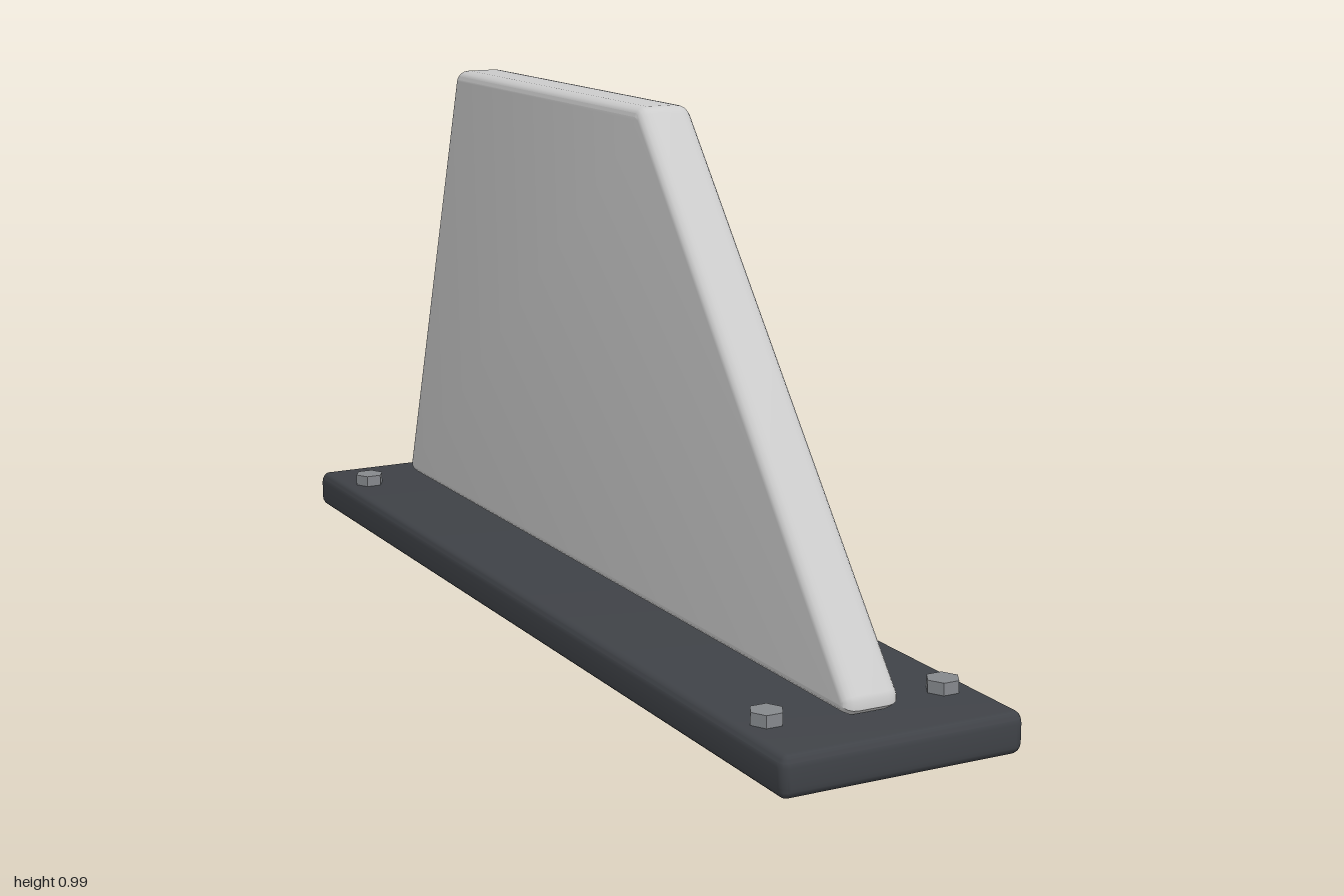
import * as THREE from 'three';
import { toCreasedNormals } from 'three/addons/utils/BufferGeometryUtils.js';

const mat = (color) => new THREE.MeshStandardMaterial({ color });

// Closed outline through the points, each corner softened by a short curve.
function softPolygon(points, cut) {
  const shape = new THREE.Shape();
  const pts = points.map(([x, y]) => new THREE.Vector2(x, y));
  pts.forEach((p, i) => {
    const prev = pts[(i + pts.length - 1) % pts.length];
    const next = pts[(i + 1) % pts.length];
    const a = p.clone().add(prev.clone().sub(p).setLength(cut));
    const b = p.clone().add(next.clone().sub(p).setLength(cut));
    if (i === 0) shape.moveTo(a.x, a.y);
    else shape.lineTo(a.x, a.y);
    shape.quadraticCurveTo(p.x, p.y, b.x, b.y);
  });
  shape.closePath();
  return shape;
}

// Bevelled plate of the given total thickness, starting at z = 0.
function plate(shape, thickness, bevelThickness, bevelSize) {
  const geo = new THREE.ExtrudeGeometry(shape, {
    depth: thickness - 2 * bevelThickness,
    bevelEnabled: true, bevelThickness, bevelSize, bevelSegments: 4, curveSegments: 4,
  });
  geo.translate(0, 0, bevelThickness);
  return geo;
}

export function createModel() {
  const model = new THREE.Group();
  const add = (name, geo, material) => {
    const mesh = new THREE.Mesh(geo, material);
    mesh.name = name;
    model.add(mesh);
    return mesh;
  };

  // Long base plate lying on the ground
  const w = 0.215, l = 0.985;
  const baseGeo = plate(softPolygon([[-w, -l], [w, -l], [w, l], [-w, l]], 0.003), 0.073, 0.02, 0.015);
  baseGeo.rotateX(-Math.PI / 2);
  add('basePlate', toCreasedNormals(baseGeo, 0.6), mat(0x3f4247));

  // Upright trapezoid fin: outline drawn in (z, y), thickness along x
  const outline = [[0.887, 0.093], [0.176, 0.972], [-0.612, 0.972], [-0.89, 0.093]].reverse();
  const finGeo = plate(softPolygon(outline, 0.007), 0.106, 0.024, 0.018);
  finGeo.translate(0, 0, -0.053);
  finGeo.rotateY(-Math.PI / 2);
  add('fin', toCreasedNormals(finGeo, 0.6), mat(0xcccccc));

  // Hexagonal bolt heads at the four corners
  const boltGeo = new THREE.CylinderGeometry(0.03, 0.03, 0.03, 6);
  boltGeo.rotateY(Math.PI / 6);
  const boltMat = mat(0x85888c);
  boltMat.flatShading = true;
  for (const x of [-0.17, 0.17]) {
    for (const z of [-0.855, 0.85]) {
      const side = (z > 0 ? 'front' : 'back') + (x > 0 ? 'Left' : 'Right');
      add(side + 'Bolt', boltGeo, boltMat).position.set(x, 0.08, z);
    }
  }
  return model;
}
